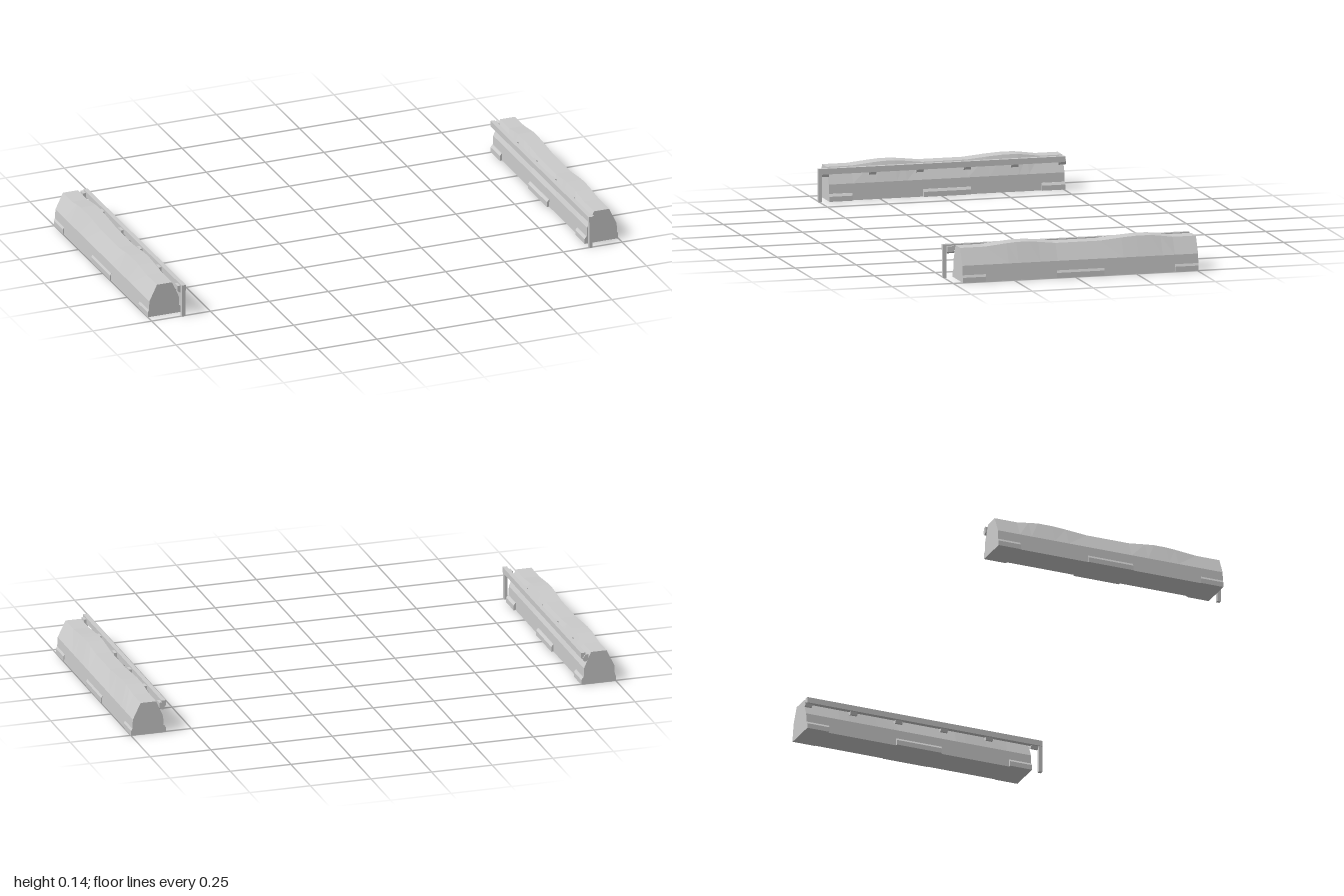
import * as THREE from 'three';

const mat = new THREE.MeshStandardMaterial({ color: 0xcccccc, flatShading: true, side: THREE.DoubleSide });

function add(group, name, geometry, x = 0, y = 0, z = 0) {
  const mesh = new THREE.Mesh(geometry, mat);
  mesh.name = name;
  mesh.position.set(x, y, z);
  group.add(mesh);
}

// Box given by its extents
function box(group, name, x0, x1, y0, y1, z0, z1) {
  add(group, name, new THREE.BoxGeometry(x1 - x0, y1 - y0, z1 - z0),
    (x0 + x1) / 2, (y0 + y1) / 2, (z0 + z1) / 2);
}

// Extrude an (x, y) outline along z from z0 to z1
function prism(group, name, outline, z0, z1) {
  const shape = new THREE.Shape(outline.map(([x, y]) => new THREE.Vector2(x, y)));
  add(group, name, new THREE.ExtrudeGeometry(shape, { depth: z1 - z0, bevelEnabled: false }), 0, 0, z0);
}

// Bank with a tapered section whose crest swells twice along its length
function bankGeometry() {
  const stations = [[0.46, 0.133], [0.36, 0.133], [0.27, 0.142], [0.23, 0.145], [0.18, 0.145],
    [0.14, 0.141], [0.07, 0.133], [-0.11, 0.133], [-0.2, 0.141], [-0.26, 0.145],
    [-0.32, 0.145], [-0.36, 0.14], [-0.41, 0.133], [-0.505, 0.133]];
  const pos = [], index = [], n = 6;
  for (const [z, top] of stations) {
    const section = [[0.866, 0], [0.997, 0], [0.993, 0.067], [0.961, top], [0.897, top], [0.868, 0.067]];
    for (const [x, y] of section) pos.push(x, y, z);
  }
  for (let s = 0; s < stations.length - 1; s++) {
    for (let i = 0; i < n; i++) {
      const a = s * n + i, b = s * n + (i + 1) % n;
      index.push(a, a + n, b, b, a + n, b + n);
    }
  }
  const last = (stations.length - 1) * n;
  for (let i = 1; i < n - 1; i++) {
    index.push(0, i, i + 1);
    index.push(last, last + i + 1, last + i);
  }
  const g = new THREE.BufferGeometry();
  g.setAttribute('position', new THREE.Float32BufferAttribute(pos, 3));
  g.setIndex(index);
  const flat = g.toNonIndexed();
  flat.computeVertexNormals();
  return flat;
}

// One side: bank, footing blocks and inner handrail
function buildSide(name) {
  const side = new THREE.Group();
  side.name = name;
  add(side, 'bank', bankGeometry());

  // Footing blocks with a chamfered upper edge, on both faces
  for (const [z0, z1] of [[0.365, 0.46], [-0.12, 0.074], [-0.505, -0.41]]) {
    prism(side, 'outerFooting', [[0.99, 0], [1, 0], [1, 0.02], [0.995, 0.03], [0.99, 0.03]], z0, z1);
    prism(side, 'innerFooting', [[0.873, 0], [0.873, 0.03], [0.864, 0.03], [0.857, 0.02], [0.857, 0]], z0, z1);
  }

  // Handrail, front post and wedge brackets
  box(side, 'handrail', 0.856, 0.874, 0.11, 0.133, -0.505, 0.505);
  box(side, 'railPost', 0.859, 0.873, 0, 0.112, 0.49, 0.505);
  for (let i = 0; i < 6; i++) {
    const z = 0.475 - i * 0.194;
    prism(side, 'railBracket',
      [[0.862, 0.112], [0.868, 0.098], [0.876, 0.098], [0.885, 0.105], [0.885, 0.127], [0.874, 0.127]],
      z - 0.015, z + 0.015);
  }
  return side;
}

export function createModel() {
  const model = new THREE.Group();
  model.name = 'pairedBanks';
  model.add(buildSide('leftSide'));
  const right = buildSide('rightSide');
  right.scale.x = -1;
  model.add(right);
  return model;
}
